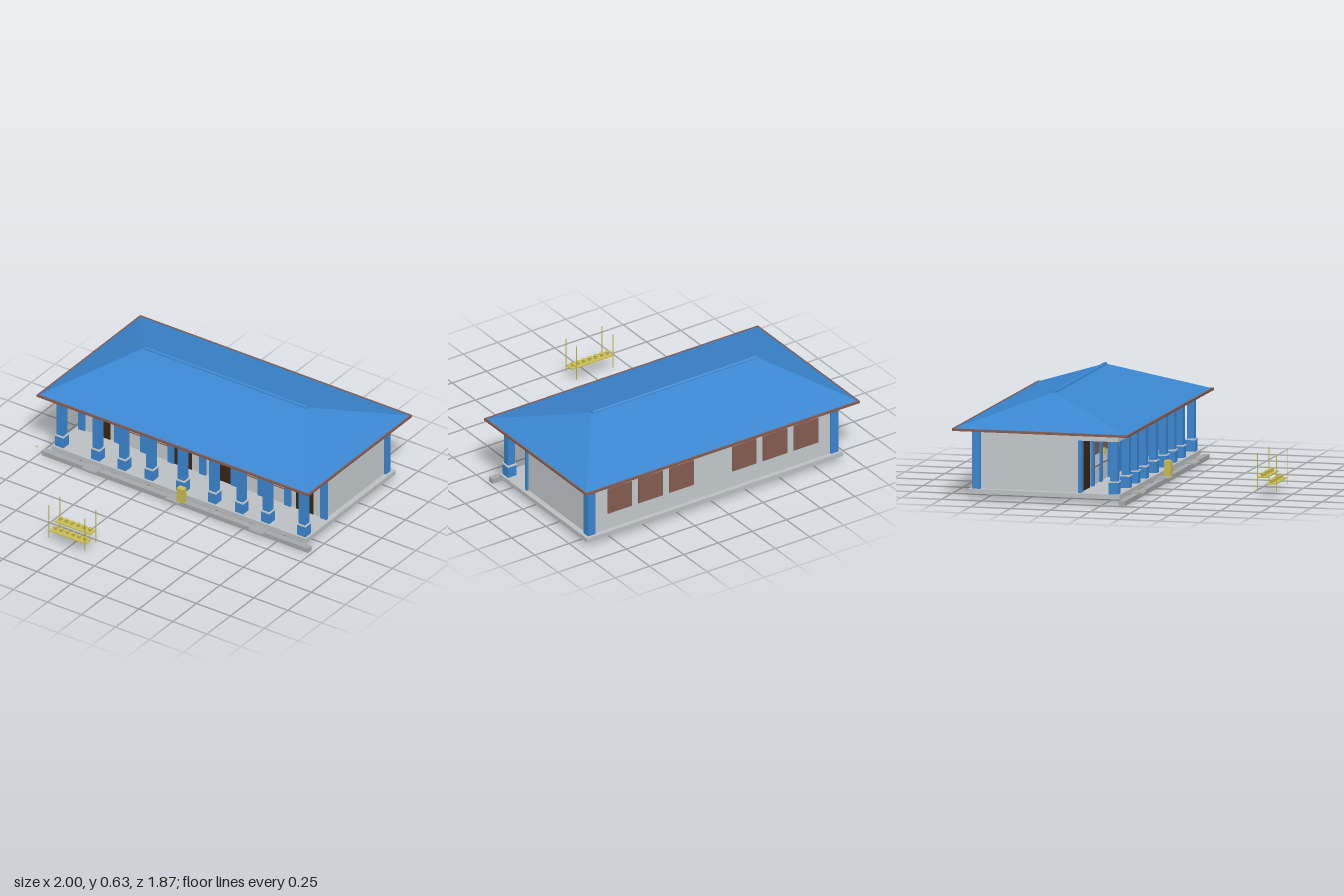
import * as THREE from 'three';
import { ConvexGeometry } from 'three/addons/geometries/ConvexGeometry.js';

const mat = (name, color) => {
  const m = new THREE.MeshStandardMaterial({ color });
  m.name = name;
  return m;
};

export function createModel() {
  const blue = mat('blue paint', 0x3a86d0);
  const wallGrey = mat('wall grey', 0xc3c9cc);
  const concrete = mat('concrete', 0xa6a7a8);
  const floorGrey = mat('floor grey', 0xbcbfc1);
  const brown = mat('brown wood', 0x855c50);
  const dark = mat('dark wood', 0x3a2412);
  const glass = mat('pale glass', 0xced6dc);
  const yellow = mat('yellow paint', 0xc9bd52);

  const model = new THREE.Group();
  model.name = 'schoolhouse';

  const add = (name, geo, material, x = 0, y = 0, z = 0, parent = model) => {
    const m = new THREE.Mesh(geo, material);
    m.name = name;
    m.position.set(x, y, z);
    parent.add(m);
    return m;
  };
  // box given by its limits on each axis
  const box = (name, material, x0, x1, y0, y1, z0, z1, parent) =>
    add(name, new THREE.BoxGeometry(x1 - x0, y1 - y0, z1 - z0), material,
      (x0 + x1) / 2, (y0 + y1) / 2, (z0 + z1) / 2, parent);
  const group = (name) => {
    const g = new THREE.Group();
    g.name = name;
    model.add(g);
    return g;
  };

  // Ground works
  box('floorSlab', floorGrey, -0.935, 0.935, 0.032, 0.06, -0.85, 0.1);
  box('frontKerb', concrete, -0.98, 0.98, 0, 0.03, 0.105, 0.145);
  for (const x of [-0.612, 0, 0.612])
    box('entrySlab', concrete, x - 0.05, x + 0.05, 0.03, 0.036, 0.1, 0.174);

  // Classroom block
  box('walls', wallGrey, -0.9, 0.9, 0.06, 0.43, -0.82, -0.16);
  for (const s of [-1, 1]) {
    box('cornerPillar', blue, s * 0.888 - 0.027, s * 0.888 + 0.027, 0.06, 0.43, -0.83, -0.78);
    // side beam of the veranda
    box('sideBeam', wallGrey, s * 0.89 - 0.025, s * 0.89 + 0.025, 0.38, 0.43, -0.16, 0.04);
  }
  box('frontBeam', wallGrey, -0.915, 0.915, 0.38, 0.43, 0.03, 0.085);
  box('verandaCeiling', wallGrey, -0.88, 0.88, 0.415, 0.425, -0.16, 0.03);

  // Veranda columns and matching wall pilasters
  for (const x of [-0.89, -0.625, -0.432, -0.232, 0, 0.232, 0.432, 0.625, 0.89]) {
    const g = group('column');
    box('shaft', blue, x - 0.024, x + 0.024, 0.06, 0.38, 0.034, 0.08, g);
    box('plinth', blue, x - 0.03, x + 0.03, 0.06, 0.13, 0.026, 0.086, g);
    box('plinthCap', wallGrey, x - 0.032, x + 0.032, 0.13, 0.139, 0.024, 0.088, g);
    box('pilaster', blue, x - 0.024, x + 0.024, 0.06, 0.38, -0.166, -0.146, g);
  }

  // Doors with barred transoms
  for (const x of [-0.747, -0.145, 0.145, 0.747]) {
    const g = group('door');
    box('doorLeaf', dark, x - 0.062, x + 0.062, 0.06, 0.303, -0.164, -0.154, g);
    box('transomRail', dark, x - 0.062, x + 0.062, 0.372, 0.379, -0.164, -0.154, g);
    for (let i = 0; i < 9; i++) {
      const bx = x - 0.058 + i * 0.0145;
      box('transomBar', dark, bx - 0.004, bx + 0.004, 0.3, 0.374, -0.164, -0.155, g);
    }
  }

  // Front windows: brown shutters above pale panes
  for (const s of [-1, 1]) {
    const cx = s * 0.432;
    const g = group('frontWindow');
    box('shutter', brown, cx - 0.17, cx + 0.17, 0.24, 0.342, -0.164, -0.155, g);
    box('pane', glass, cx - 0.165, cx + 0.165, 0.17, 0.24, -0.164, -0.157, g);
    box('sill', brown, cx - 0.17, cx + 0.17, 0.164, 0.17, -0.164, -0.154, g);
    for (const t of [-0.168, 0, 0.168])
      box('mullion', brown, cx + t - 0.003, cx + t + 0.003, 0.164, 0.24, -0.164, -0.154, g);
    // Rear windows in rows of three
    for (const x of [0.23, 0.455, 0.68])
      box('rearWindow', brown, s * x - 0.088, s * x + 0.088, 0.17, 0.34, -0.829, -0.82);
  }

  // Hipped roof
  const X = 0.995, Y = 0.432, F = 0.162, B = -0.93, R = -0.405;
  const pts = [[-X, Y, F], [X, Y, F], [-X, Y, B], [X, Y, B], [-0.6, 0.62, R], [0.6, 0.62, R]];
  add('roof', new ConvexGeometry(pts.map((p) => new THREE.Vector3(...p))), blue);
  const ridge = add('ridgeCap', new THREE.CylinderGeometry(0.013, 0.013, 1.2, 8), blue, 0, 0.617, R);
  ridge.rotation.z = Math.PI / 2;
  for (const z of [F, B])
    box('fasciaLong', brown, -1, 1, 0.421, 0.436, z - 0.005, z + 0.005);
  for (const x of [-X, X])
    box('fasciaShort', brown, x - 0.005, x + 0.005, 0.421, 0.436, B, F);

  // Yellow fittings
  box('bin', yellow, 0.022, 0.07, 0.036, 0.13, 0.12, 0.16);
  for (const x of [-0.395, -0.063])
    box('wallPlaque', yellow, x - 0.014, x + 0.014, 0.222, 0.26, -0.155, -0.137);
  box('marker', yellow, -0.972, -0.959, 0.1, 0.106, 0.212, 0.217);

  // Plant stand
  const rack = group('plantStand');
  const post = new THREE.CylinderGeometry(0.003, 0.003, 0.23, 8);
  for (const x of [-0.38, -0.115])
    for (const z of [0.815, 0.932]) add('post', post, yellow, x, 0.148, z, rack);
  const pot = new THREE.CylinderGeometry(0.013, 0.009, 0.022, 12);
  for (const [y, z] of [[0.078, 0.896], [0.116, 0.842]]) {
    box('shelf', yellow, -0.38, -0.115, y - 0.003, y + 0.003, z - 0.03, z + 0.032, rack);
    for (let i = 0; i < 6; i++) add('pot', pot, yellow, -0.358 + i * 0.0435, y + 0.013, z, rack);
  }
  return model;
}
